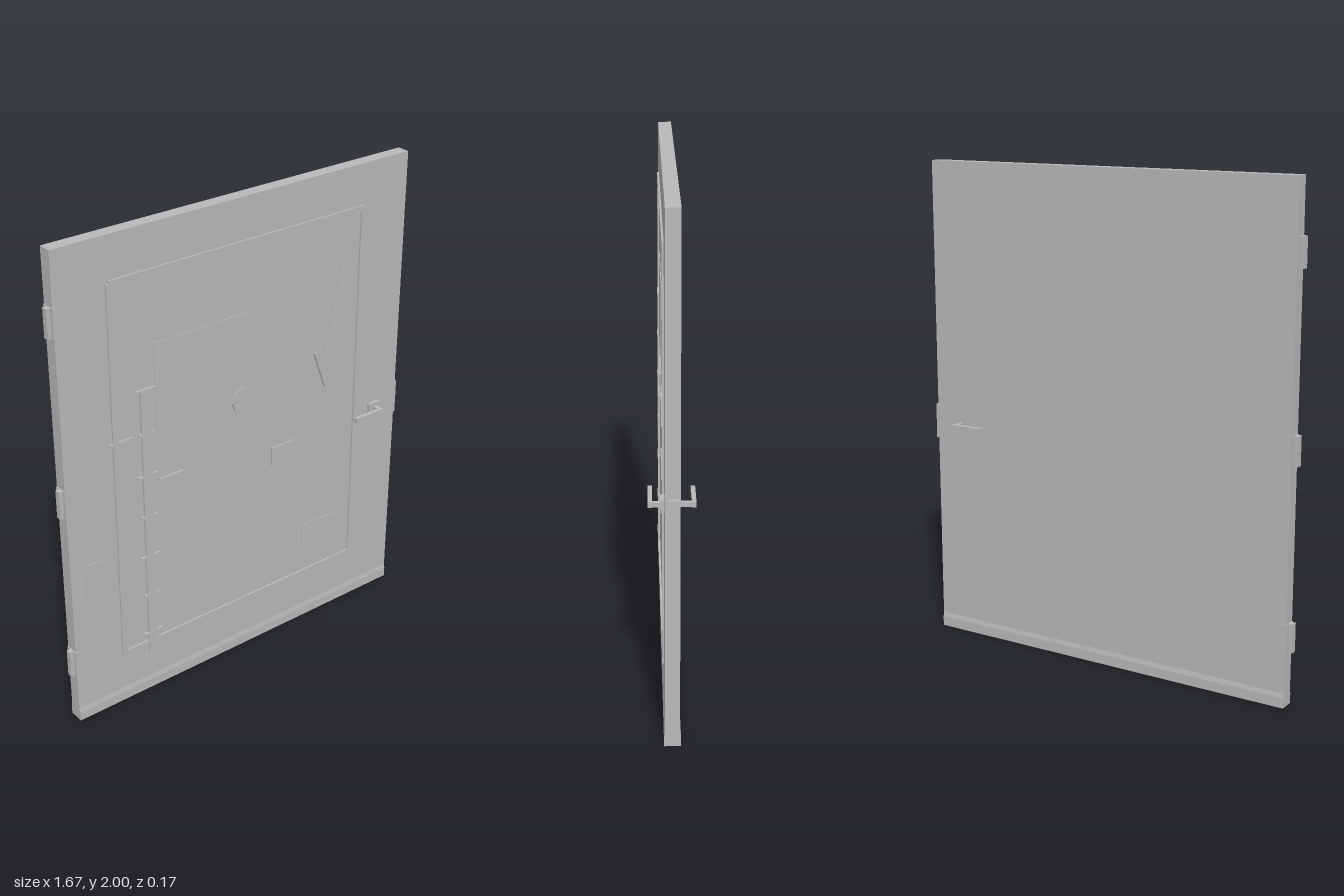
import * as THREE from 'three';

export function createModel() {
  const model = new THREE.Group();
  model.name = 'door';
  const grey = new THREE.MeshStandardMaterial({ color: 0xb8b8b8 });
  grey.name = 'grey';
  const FRONT = 0.027; // half thickness of the slab

  function add(name, geometry, parent = model) {
    const mesh = new THREE.Mesh(geometry, grey);
    mesh.name = name;
    parent.add(mesh);
    return mesh;
  }
  // box given by its limits on each axis
  function box(name, [x0, x1], [y0, y1], [z0, z1], parent) {
    const mesh = add(name, new THREE.BoxGeometry(x1 - x0, y1 - y0, z1 - z0), parent);
    mesh.position.set((x0 + x1) / 2, (y0 + y1) / 2, (z0 + z1) / 2);
    return mesh;
  }
  // thin plate raised from the front face
  const plate = (name, x, y, height, parent) => box(name, x, y, [FRONT - 0.002, FRONT + height], parent);
  // narrow raised strip between two points of the front face
  function strip(name, ax, ay, bx, by) {
    const mesh = add(name, new THREE.BoxGeometry(Math.hypot(bx - ax, by - ay), 0.011, 0.01));
    mesh.position.set((ax + bx) / 2, (ay + by) / 2, FRONT + 0.003);
    mesh.rotation.z = Math.atan2(by - ay, bx - ax);
  }

  // slab and the slightly flared foot
  box('slab', [-0.815, 0.815], [0, 2], [-FRONT, FRONT]);
  const foot = new THREE.Shape([
    [-0.031, 0], [0.031, 0], [0.031, 0.04], [FRONT, 0.06], [-FRONT, 0.06], [-0.031, 0.04],
  ].map(([x, y]) => new THREE.Vector2(x, y)));
  const footMesh = add('foot', new THREE.ExtrudeGeometry(foot, { depth: 1.63, bevelEnabled: false }));
  footMesh.rotation.y = Math.PI / 2;
  footMesh.position.x = -0.815;

  // raised frame with stepped corners
  const frame = new THREE.Group();
  frame.name = 'frame';
  model.add(frame);
  for (const s of [-1, 1]) {
    const x = [s * 0.578, s * 0.603].sort((a, b) => a - b);
    plate('frameSide', x, [0.225, 1.82], 0.007, frame);
  }
  plate('frameTop', [-0.592, 0.592], [1.812, 1.832], 0.0075, frame);
  plate('frameBottom', [-0.592, 0.592], [0.216, 0.24], 0.0075, frame);

  // ladder-like strip with long and short rungs
  const ladder = new THREE.Group();
  ladder.name = 'ladder';
  model.add(ladder);
  plate('ladderRail', [-0.477, -0.435], [0.18, 1.368], 0.009, ladder);
  for (let i = 0; i < 7; i++) {
    const y = 0.275 + i * 0.1815, half = i % 2 ? 0.034 : 0.044;
    plate('ladderRung', [-0.456 - half, -0.456 + half], [y - 0.005, y + 0.005], 0.0105, ladder);
  }

  // scratches
  strip('scratch', 0.497, 1.655, 0.412, 1.26);
  strip('scratch', 0.36, 1.268, 0.42, 1.1);
  strip('scratch', -0.62, 1.183, -0.51, 1.183);
  strip('scratch', -0.4, 0.96, -0.29, 0.96);

  // thin patches and the octagonal disc
  plate('largePatch', [-0.41, 0.04], [1.2, 1.54], 0.003);
  plate('sidePatch', [-0.75, -0.665], [0.55, 0.71], 0.003);
  plate('smallPatch', [0.145, 0.265], [0.82, 0.905], 0.006);
  plate('lowerPatch', [0.315, 0.5], [0.35, 0.467], 0.003);
  const disc = add('disc', new THREE.CylinderGeometry(0.055, 0.055, 0.01, 8).toNonIndexed());
  disc.geometry.computeVertexNormals();
  disc.rotation.x = Math.PI / 2;
  disc.position.set(0, 1.175, FRONT + 0.002);

  // hinges: leaf and projecting knuckle
  for (const y of [0.277, 1.003, 1.73]) {
    const span = [y - 0.058, y + 0.058];
    box('hingeLeaf', [-0.818, -0.755], span, [-0.0285, 0.0285]);
    box('hingeKnuckle', [-0.835, -0.81], span, [-0.006, 0.017]);
  }

  // latch plate on the free edge
  box('latchPlate', [0.81, 0.832], [0.84, 0.985], [-0.02, 0.018]);

  // lever handles on both faces, with a rosette on the front
  for (const s of [1, -1]) {
    const handle = new THREE.Group();
    handle.name = s > 0 ? 'frontHandle' : 'backHandle';
    model.add(handle);
    const z = (a, b) => (s > 0 ? [a, b] : [-b, -a]);
    box('lever', [0.553, 0.7], [0.903, 0.924], z(0.07, 0.086), handle);
    box('neck', [0.683, 0.7], [0.905, 0.922], z(0.02, 0.075), handle);
  }
  box('rosette', [0.662, 0.715], [0.887, 0.938], [0.02, 0.042]);

  return model;
}
